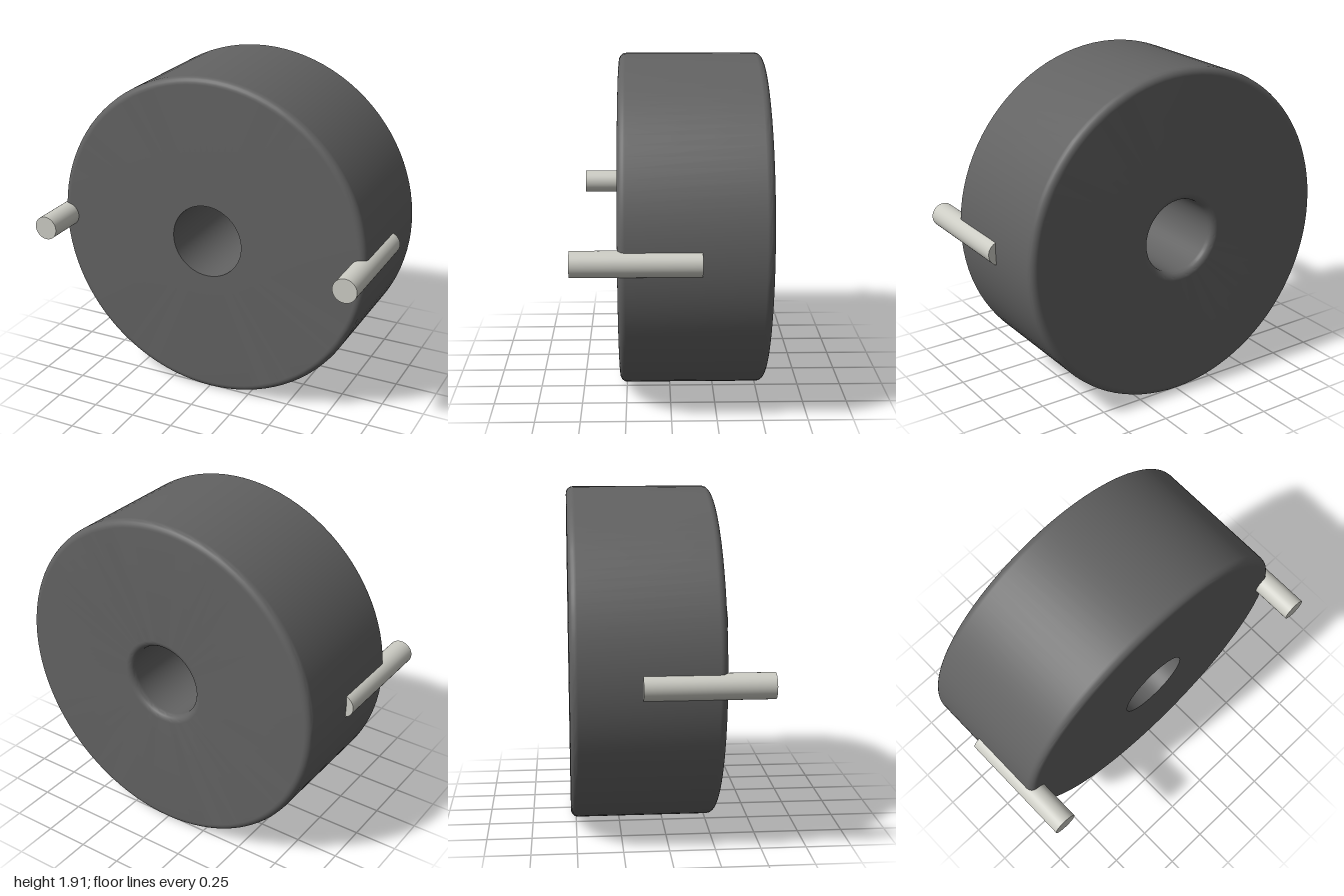
import * as THREE from 'three';
import { toCreasedNormals } from 'three/addons/utils/BufferGeometryUtils.js';

const R = 0.957, HOLE = 0.215, BACK = -0.53, FRONT = 0.285, FILLET = 0.04;
const CENTRE_Y = R;

// Rounded corner of the profile, around (cx, cy), between two angles in degrees
function arc(cx, cy, from, to, steps = 6) {
  return Array.from({ length: steps + 1 }, (_, i) => {
    const a = THREE.MathUtils.degToRad(from + ((to - from) * i) / steps);
    return new THREE.Vector2(cx + FILLET * Math.cos(a), cy + FILLET * Math.sin(a));
  });
}

export function createModel() {
  const group = new THREE.Group();
  const dark = new THREE.MeshStandardMaterial({ color: 0x626262 });
  const metal = new THREE.MeshStandardMaterial({ color: 0xccccc4 });
  const p = (x, y) => new THREE.Vector2(x, y);
  const e = 0.004; // short support bands keep the flat faces evenly shaded

  // Ring body: outer edges and back rim of the bore rounded, front rim sharp
  const profile = [
    p(HOLE, FRONT),
    p(HOLE, BACK + FILLET + e),
    ...arc(HOLE + FILLET, BACK + FILLET, 180, 270),
    p(HOLE + FILLET + e, BACK),
    p(R - FILLET - e, BACK),
    ...arc(R - FILLET, BACK + FILLET, -90, 0),
    p(R, BACK + FILLET + e),
    p(R, FRONT - FILLET - e),
    ...arc(R - FILLET, FRONT - FILLET, 0, 90),
    p(R - FILLET - e, FRONT),
    p(HOLE, FRONT),
  ];
  const bodyGeometry = toCreasedNormals(new THREE.LatheGeometry(profile, 96), Math.PI / 6);
  bodyGeometry.rotateX(Math.PI / 2);
  const body = new THREE.Mesh(bodyGeometry, dark);
  body.name = 'body';
  body.position.y = CENTRE_Y;
  group.add(body);

  // Contact pins half sunk into the sides, sticking out at the front
  const pinBack = -0.155, pinFront = 0.53;
  const pinGeometry = new THREE.CylinderGeometry(0.07, 0.07, pinFront - pinBack, 32);
  pinGeometry.rotateX(Math.PI / 2);
  for (const [name, side] of [['leftPin', 1], ['rightPin', -1]]) {
    const pin = new THREE.Mesh(pinGeometry, metal);
    pin.name = name;
    pin.position.set(side * 0.93, CENTRE_Y, (pinBack + pinFront) / 2);
    group.add(pin);
  }
  return group;
}
